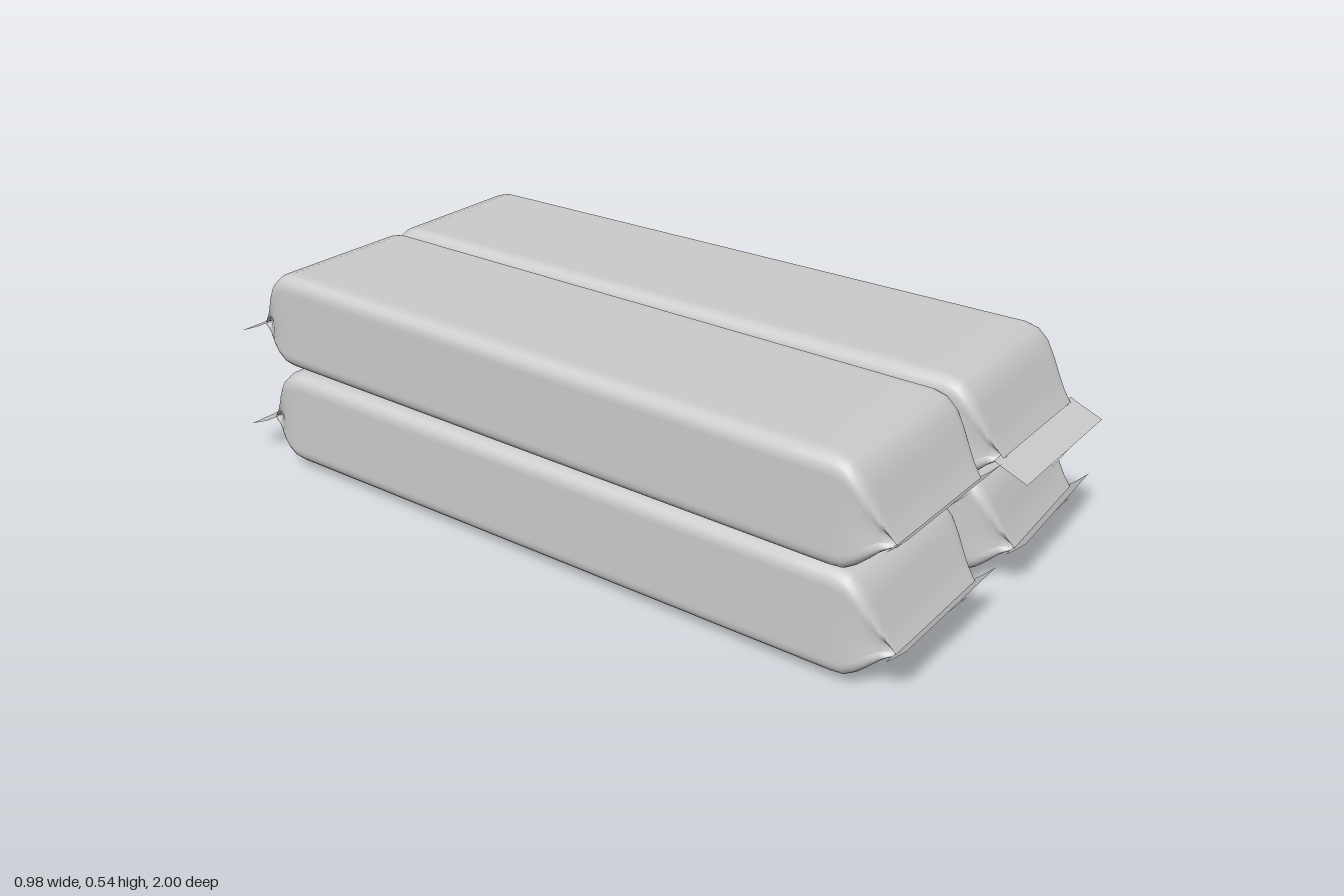
import * as THREE from 'three';

const material = new THREE.MeshStandardMaterial({ color: 0xcccccc, side: THREE.DoubleSide });

// End shape of a pack: distance from middle, top, bottom, half width, side tuck
const END = [
  [0.70, 0.125, -0.125, 0.214, 0],
  [0.79, 0.125, -0.125, 0.214, 0],
  [0.82, 0.117, -0.122, 0.214, 0.002],
  [0.845, 0.095, -0.107, 0.213, 0.006],
  [0.865, 0.062, -0.090, 0.211, 0.014],
  [0.89, 0.014, -0.066, 0.206, 0.026],
  [0.905, -0.012, -0.055, 0.202, 0.034],
  [0.925, -0.040, -0.044, 0.198, 0.040],
];
// Crimped end seals: [distance, height], one bent up and one bent down
const SEAL_UP = [[0.915, -0.047], [0.93, -0.034], [0.958, -0.005]];
const SEAL_DOWN = [[0.915, -0.038], [0.93, -0.046], [0.995, -0.073]];

// Skin a list of rows of points
function loft(rows, closed) {
  const n = rows[0].length, index = [];
  for (let i = 0; i < rows.length - 1; i++) {
    for (let j = 0; j < (closed ? n : n - 1); j++) {
      const k = (j + 1) % n;
      const a = i * n + j, b = i * n + k, c = (i + 1) * n + k, d = (i + 1) * n + j;
      index.push(a, b, c, a, c, d);
    }
  }
  const geometry = new THREE.BufferGeometry();
  geometry.setAttribute('position', new THREE.Float32BufferAttribute(rows.flat(2), 3));
  geometry.setIndex(index);
  geometry.computeVertexNormals();
  return geometry;
}

// Rounded rectangle whose sides tuck inward, counterclockwise
function section(z, top, bottom, half, tuck) {
  const mid = (top + bottom) / 2, h = (top - bottom) / 2;
  const rx = 0.034, ry = Math.min(0.034, h * 0.6), ring = [];
  const add = (x, y) => {
    const t = y / h;
    ring.push([x - Math.sign(x) * tuck * (1 - t * t), mid + y, z]);
  };
  const corners = [[1, 1], [-1, 1], [-1, -1], [1, -1]];
  corners.forEach(([sx, sy], q) => {
    for (let i = 0; i <= 5; i++) {
      const a = (q + i / 5) * Math.PI / 2;
      add(sx * (half - rx) + rx * Math.cos(a), sy * (h - ry) + ry * Math.sin(a));
    }
    // points between this corner and the next one
    const [nx, ny] = corners[(q + 1) % 4];
    for (const t of [0.04, 0.5, 0.96]) {
      const lerp = THREE.MathUtils.lerp;
      if (q % 2 === 0) add(lerp(sx, nx, t) * (half - rx), sy * h);
      else add(sx * half, lerp(sy, ny, t) * (h - ry));
    }
  });
  return ring;
}

function part(name, geometry) {
  const mesh = new THREE.Mesh(geometry, material);
  mesh.name = name;
  return mesh;
}

function seal(name, profile, sign) {
  return part(name, loft(profile.map(([d, y]) =>
    [-0.2, 0, 0.2].map((x) => [x, y, sign * d])), false));
}

function createPack(name, finDrop) {
  const pack = new THREE.Group();
  pack.name = name;

  // Wrapped body, pinched at both ends
  const stations = [
    ...END.slice().reverse().map(([d, ...rest]) => [-d, ...rest]),
    ...END,
  ];
  pack.add(part('wrapperBody', loft(stations.map((s) => section(...s)), true)));

  // Crimped ends
  pack.add(seal('frontSeal', SEAL_UP, 1), seal('backSeal', SEAL_DOWN, -1));

  // Lengthwise seam flap under the pack, running out along both seals
  const path = [
    ...SEAL_DOWN.slice(1).reverse().map(([d, y]) => [-d, y]),
    ...END.slice(0, -1).reverse().map((e) => [-e[0], e[2]]),
    ...END.slice(0, -1).map((e) => [e[0], e[2]]),
    ...SEAL_UP.slice(1),
  ];
  pack.add(part('seamFlap', loft(path.map(([z, y]) => {
    const drop = Math.abs(z) > 0.9 ? 0.008 : finDrop;
    return [[0.068, y - drop, z], [0.035, y - drop * 0.7, z], [-0.015, y - 0.001, z]];
  }), false)));
  return pack;
}

export function createModel() {
  const model = new THREE.Group();
  model.name = 'packStack';
  // name, x, y, turn, seam drop
  const layout = [
    ['lowerRightPack', -0.25, 0.145, 0, 0.02],
    ['lowerLeftPack', 0.228, 0.145, 0.056, 0.02],
    ['upperRightPack', -0.262, 0.41, -0.016, 0.015],
    ['upperLeftPack', 0.184, 0.41, Math.PI, 0.015],
  ];
  for (const [name, x, y, turn, drop] of layout) {
    const pack = createPack(name, drop);
    pack.position.set(x, y, 0);
    pack.rotation.y = turn;
    model.add(pack);
  }
  return model;
}
